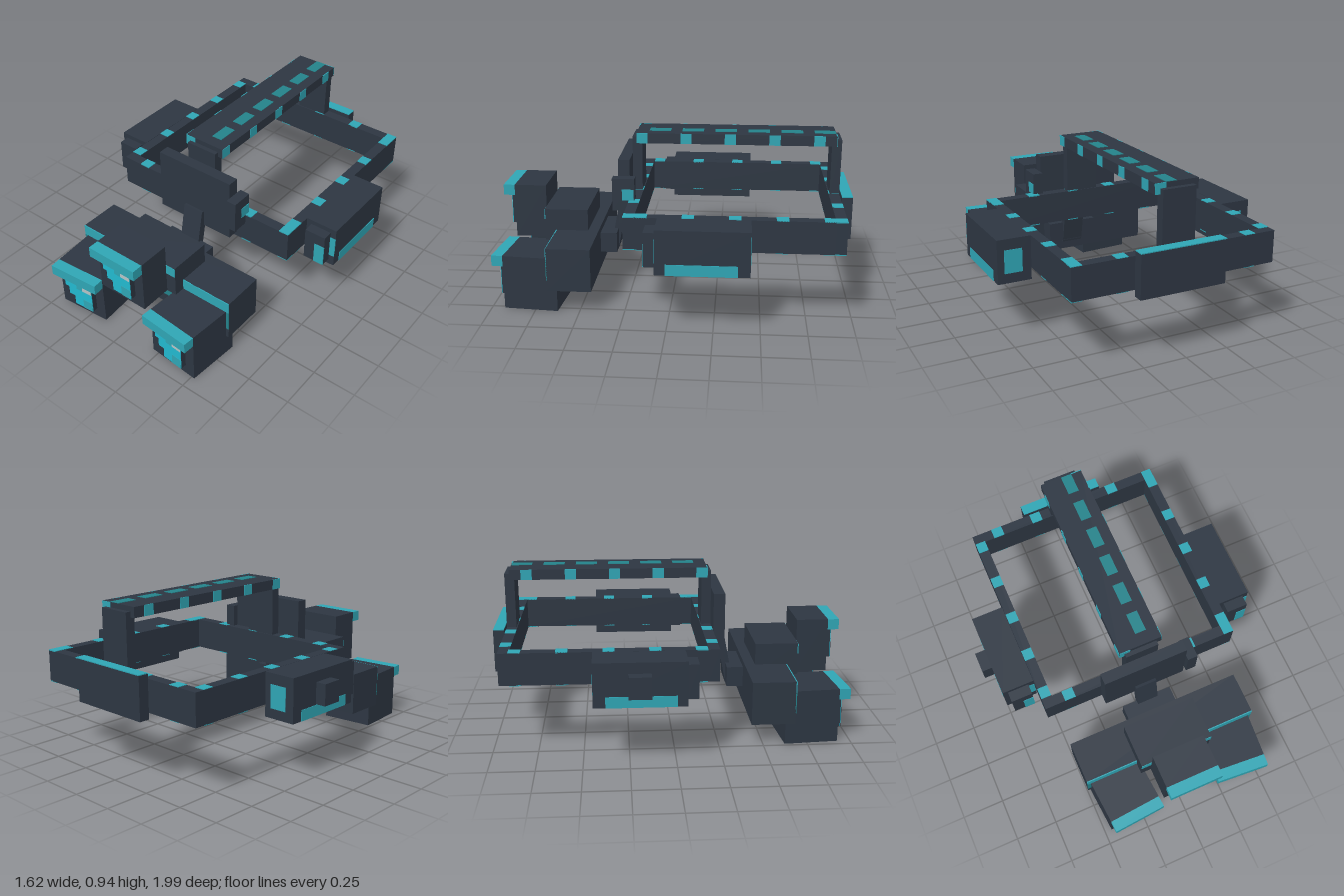
import * as THREE from 'three';

const mat = (name, color) => Object.assign(new THREE.MeshStandardMaterial({ color }), { name });

export function createModel() {
  const dark = mat('dark slate', 0x2d3642);
  const teal = mat('teal', 0x2fa5b4);
  const deepTeal = mat('deep teal', 0x24828a);
  const cyan = mat('bright cyan', 0x22b9cf);
  const pale = mat('pale grey', 0xb6c4c6);
  const model = new THREE.Group();
  const C = 0.03; // mirror plane of the headset

  // box from its min and max corners
  const box = (name, m, [x0, x1], [y0, y1], [z0, z1], parent = model) => {
    const mesh = new THREE.Mesh(new THREE.BoxGeometry(x1 - x0, y1 - y0, z1 - z0), m);
    mesh.position.set((x0 + x1) / 2, (y0 + y1) / 2, (z0 + z1) / 2);
    mesh.name = name;
    parent.add(mesh);
    return mesh;
  };
  const T = 0.003; // how far painted plates stand out

  // square head band
  const bandY = [0.41, 0.59];
  box('bandFront', dark, [-0.56, 0.62], bandY, [0.18, 0.24]);
  box('bandBack', dark, [-0.56, 0.62], bandY, [-0.94, -0.88]);
  box('bandRight', dark, [-0.56, -0.5], bandY, [-0.88, 0.18]);
  box('bandLeft', dark, [0.56, 0.62], bandY, [-0.88, 0.18]);

  // teal squares along the band, above and below
  for (const y of [[0.59 - T, 0.59 + T], [0.41 - T, 0.41 + T]]) {
    for (let i = 0; i < 5; i++) {
      const z = -0.885 + i * 0.249;
      box('bandMark', teal, [-0.56, -0.5], y, [z, z + 0.065]);
      box('bandMark', teal, [0.56, 0.62], y, [i === 0 ? -0.94 : z, i === 4 ? 0.24 : z + 0.065]);
    }
    for (let i = 0; i < 4; i++) {
      const x = -0.44 + i * 0.25;
      box('bandMark', teal, [x, x + 0.065], y, [0.18, 0.24]);
      box('bandMark', teal, [x, x + 0.065], y, [-0.94, -0.88]);
    }
  }

  // strap over the head with its two uprights
  box('strap', dark, [-0.095, 0.155], [0.875, 0.933], [-0.91, 0.215]);
  box('strapUprightFront', dark, [-0.065, 0.125], [0.59, 0.905], [0.185, 0.24]);
  box('strapUprightBack', dark, [-0.065, 0.125], [0.59, 0.905], [-0.94, -0.885]);
  for (let i = 0; i < 6; i++) {
    const z = -0.912 + i * 0.187;
    box('strapDash', deepTeal, [C, 0.093], [0.933 - T, 0.933 + T], [Math.max(z, -0.908), z + 0.122]);
    box('strapDashUnder', deepTeal, [C, 0.093], [0.875 - T, 0.875 + T], [Math.max(z, -0.908), z + 0.122]);
  }
  for (let i = 0; i < 5; i++) {
    const z = -0.845 + i * 0.249;
    for (const x of [-0.095, 0.155])
      box('strapSideMark', teal, [x - T, x + T], [0.875, 0.933], [z, z + 0.063]);
  }
  box('strapEndMark', teal, [-0.095, -0.032], [0.875, 0.933], [0.212, 0.218]);
  box('strapEndMark', teal, [0.092, 0.155], [0.875, 0.933], [-0.913, -0.907]);

  // forehead plate with its side knob, and the rear plate
  box('foreheadPlate', dark, [-0.22, 0.275], [0.437, 0.808], [0.24, 0.305]);
  box('plateKnob', dark, [0.275, 0.335], [0.53, 0.715], [0.208, 0.333]);
  box('knobMark', teal, [0.335 - T, 0.335 + T], [0.592, 0.654], [0.212, 0.278]);
  box('rearPlate', dark, [-0.22, 0.275], [0.375, 0.616], [-1, -0.94]);
  box('rearPlateTop', teal, [-0.22, 0.275], [0.616, 0.621], [-1, -0.94]);

  // ear boxes
  for (const [x, outer] of [[-0.75, -0.75], [0.62, 0.808]]) {
    const right = x + 0.188;
    box('earBox', dark, [x, right], [0.345, 0.59], [-0.44, 0.055]);
    box('earNub', dark, [x + 0.03, x + 0.155], [0.375, 0.563], [0.055, 0.115]);
    box('earNubMark', teal, [x + 0.094, x + 0.155], [0.375, 0.497], [0.112, 0.118]);
    box('earFrontMark', teal, [x + 0.155, right], [0.41, 0.533], [0.052, 0.058]);
    box('earBackMark', teal, [x + 0.05, x + 0.15], [0.4, 0.53], [-0.443, -0.437]);
    box('earStripe', teal, [outer - T, outer + T], [0.345, 0.406], [-0.375, 0]);
  }
  box('earDial', dark, [-0.81, -0.75], [0.41, 0.53], [-0.255, -0.135]);

  // sloping arm down to the goggles
  const arm = box('arm', dark, [-0.035, 0.092], [0.21, 0.535], [0.307, 0.352]);
  arm.rotation.x = -0.19;
  box('armMount', dark, [-0.125, 0.18], [0.22, 0.338], [0.335, 0.43]);

  // goggle housing
  box('housing', dark, [-0.5, 0.556], [0.127, 0.374], [0.43, 0.675]);
  box('housingBand', deepTeal, [-0.5, 0.556], [0.19, 0.31], [0.672, 0.678]);
  box('housingBandTop', teal, [-0.5, 0.556], [0.31, 0.374], [0.672, 0.678]);
  box('upperHousing', dark, [-0.187, 0.246], [0.31, 0.498], [0.49, 0.74]);
  for (const x of [-0.187, 0.186])
    box('upperHousingMark', teal, [x, x + 0.06], [0.437, 0.495], [0.737, 0.743]);

  // lens tube, its origin at the bottom middle of the front face
  const eye = (name, x, y, z, depth, turn) => {
    const g = new THREE.Group();
    g.name = name;
    g.position.set(x, y, z);
    g.rotation.y = turn;
    box('tube', dark, [-0.155, 0.155], [0, 0.311], [-depth, 0], g);
    box('hood', teal, [-0.155, 0.155], [0.25, 0.311], [0, 0.064], g);
    box('lensBlock', dark, [-0.095, 0.095], [0.062, 0.25], [0, 0.032], g);
    box('lens', cyan, [-0.095, 0.095], [0.062, 0.25], [0.032, 0.035], g);
    const u = 0.188 / 9;
    const patches = [ // material, column, row, width, height
      [pale, 6, 6, 3, 3], [teal, 4, 6, 2, 2], [teal, 6, 0, 3, 3],
      [dark, 0, 0, 3, 3], [dark, 0, 3, 1.2, 2.5],
    ];
    for (const [m, c, r, w, h] of patches)
      box('lensPatch', m, [-0.095 + c * u, -0.095 + (c + w) * u], [0.062 + r * u, 0.062 + (r + h) * u], [0.035, 0.037], g);
    model.add(g);
  };
  eye('upperLensTube', C, 0.31, 0.923, 0.183, 0);
  for (const s of [-1, 1]) eye(s < 0 ? 'rightLensTube' : 'leftLensTube', C + s * 0.334, 0, 0.915, 0.305, -s * 0.078);

  return model;
}
